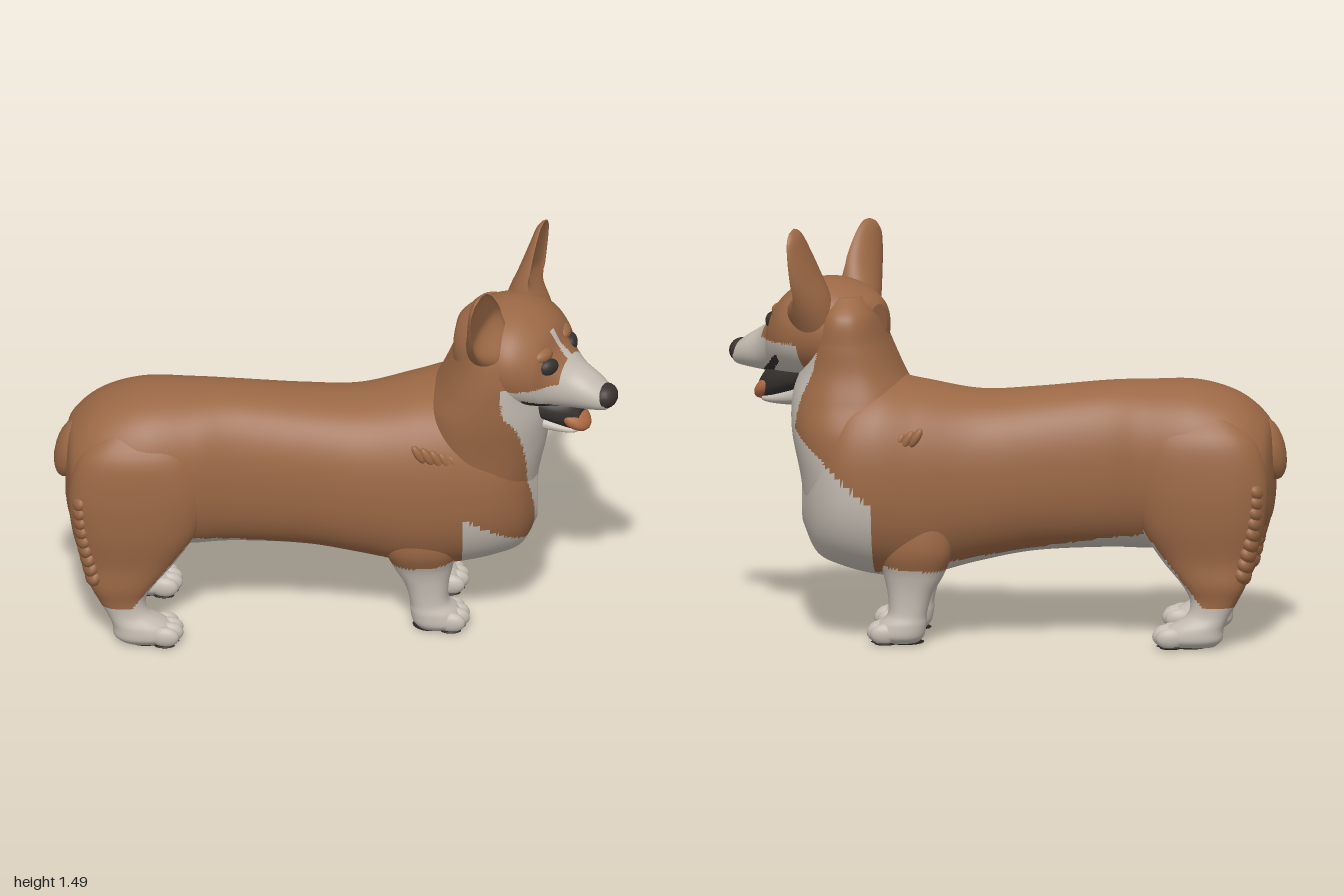
import * as THREE from 'three';

const mat = (name, color) => Object.assign(new THREE.MeshStandardMaterial({ color }), { name });

// Smooth interpolation through the rows of a station table
function sample(rows, f) {
  const i = Math.min(Math.floor(f), rows.length - 2), t = f - i;
  const at = k => rows[Math.max(0, Math.min(rows.length - 1, k))];
  return rows[i].map((_, c) => {
    const [a, b, d, e] = [at(i - 1)[c], at(i)[c], at(i + 1)[c], at(i + 2)[c]];
    return b + 0.5 * t * (d - a + t * (2 * a - 5 * b + 4 * d - e + t * (3 * (b - d) + e - a)));
  });
}

// Closed loft along 'x' or 'y'. Station: [position, high, low, zCentre, zHalfWidth].
// High and low are y limits for an x loft and x limits for a y loft.
// paint(x, y, z) returns the index of the material for each face.
function loft(name, axis, rows, mats, paint, steps = 60, segs = 48, power = 0.85) {
  const pos = [], lists = mats.map(() => []);
  const pw = v => Math.sign(v) * Math.abs(v) ** power;
  for (let i = -1; i <= steps + 1; i++) {
    const f = Math.max(0, Math.min(steps, i)) / steps * (rows.length - 1);
    const [t, hi, lo, zc, w] = sample(rows, f);
    const cap = i < 0 || i > steps ? 0 : 1;
    for (let j = 0; j < segs; j++) {
      const a = j / segs * Math.PI * 2;
      const m = (hi + lo) / 2 + cap * (hi - lo) / 2 * pw(Math.cos(a));
      const z = zc + cap * w * pw(Math.sin(a));
      pos.push(...(axis === 'x' ? [t, m, z] : [m, t, z]));
    }
  }
  const mean = (tri, k) => (pos[tri[0] * 3 + k] + pos[tri[1] * 3 + k] + pos[tri[2] * 3 + k]) / 3;
  for (let i = 0; i < steps + 2; i++) for (let j = 0; j < segs; j++) {
    const a = i * segs + j, b = i * segs + (j + 1) % segs, c = a + segs, d = b + segs;
    for (const tri of [[a, b, c], [b, d, c]]) {
      if (axis === 'y') tri.reverse();
      lists[paint ? paint(mean(tri, 0), mean(tri, 1), mean(tri, 2)) : 0].push(...tri);
    }
  }
  const g = new THREE.BufferGeometry();
  g.setAttribute('position', new THREE.Float32BufferAttribute(pos, 3));
  g.setIndex(lists.flat());
  let start = 0;
  lists.forEach((l, k) => { g.addGroup(start, l.length, k); start += l.length; });
  g.computeVertexNormals();
  const mesh = new THREE.Mesh(g, mats);
  mesh.name = name;
  return mesh;
}

function blob(name, m, p, r, rot = [0, 0, 0]) {
  const mesh = new THREE.Mesh(new THREE.SphereGeometry(1, 18, 12), m);
  mesh.name = name;
  mesh.position.set(...p);
  mesh.scale.set(...r);
  mesh.rotation.set(...rot);
  return mesh;
}

export function createModel() {
  const dog = new THREE.Group();
  dog.name = 'dog';
  const coat = mat('tan coat', 0x9b6845), white = mat('white fur', 0xc4bcb2);
  const dark = mat('dark eyes and lips', 0x34302d), nose = mat('nose', 0x3a322d);
  const pad = mat('paw pads', 0x28231f), pink = mat('tongue', 0xb06b43);
  const fur = [coat, white];

  // Torso and chest markings
  const chest = (x, y, z) => {
    const edge = 0.59 + 0.05 * Math.exp(-(((y - 0.72) / 0.15) ** 2));
    if (x > edge && z > -0.175 && z < 0.08 + (y - 0.4) * 0.35 && y < 1.045) return 1;
    if (x > 0.46 && z > 0 && y < 0.5 - (x - 0.47) * 0.6) return 1;
    return x > 0.46 && z < 0 && y < 0.64 - (0.6 - x) * 0.9 ? 1 : 0;
  };
  const torso = (x, y, z) => (x > -0.75 && y < 0.325 - 0.16 * x) ? 1 : chest(x, y, z);
  dog.add(loft('torso', 'x', [
    [-0.955, 0.72, 0.5, 0.02, 0.07], [-0.93, 0.8, 0.42, 0.02, 0.175], [-0.83, 0.885, 0.36, 0.02, 0.235],
    [-0.68, 0.93, 0.33, 0.02, 0.26], [-0.5, 0.93, 0.33, 0.015, 0.24], [-0.35, 0.925, 0.33, 0.01, 0.215],
    [-0.1, 0.9, 0.315, 0, 0.225], [0.1, 0.89, 0.275, -0.01, 0.245], [0.3, 0.925, 0.225, -0.03, 0.28],
    [0.45, 0.95, 0.23, -0.045, 0.298], [0.58, 0.91, 0.26, -0.045, 0.285], [0.67, 0.8, 0.3, -0.03, 0.215],
    [0.725, 0.62, 0.4, -0.01, 0.1]], fur, torso, 130, 96));

  // Neck and ruff
  dog.add(loft('neck', 'y', [
    [0.33, 0.65, 0.46, -0.03, 0.14], [0.45, 0.71, 0.38, -0.03, 0.22], [0.6, 0.735, 0.32, -0.04, 0.265],
    [0.75, 0.765, 0.31, -0.03, 0.275], [0.87, 0.765, 0.33, 0, 0.262], [0.97, 0.735, 0.38, 0.02, 0.248],
    [1.07, 0.71, 0.425, 0.025, 0.24], [1.17, 0.68, 0.46, 0.022, 0.22], [1.235, 0.64, 0.5, 0.03, 0.15]],
    fur, chest, 120, 100));

  dog.add(blob('tail', coat, [-0.938, 0.69, 0.03], [0.054, 0.115, 0.08], [0, 0, -0.25]));

  // Legs with toes and pads
  for (const s of [1, -1]) {
    const side = s > 0 ? 'left' : 'right';
    const paw = (label, x, z) => {
      for (let k = 0; k < 4; k++) {
        const o = k - 1.5;
        dog.add(blob(label + 'Toe', white, [x - Math.abs(o) * 0.016, 0.04, z + o * 0.038], [0.052, 0.038, 0.025], [0, -o * 0.1, 0]));
        dog.add(blob(label + 'ToePad', pad, [x - Math.abs(o) * 0.016, 0.006, z + o * 0.038], [0.037, 0.006, 0.02]));
      }
      dog.add(blob(label + 'Pad', pad, [x - 0.09, 0.005, z], [0.07, 0.007, 0.06]));
    };
    const f = s > 0 ? 0.098 : -0.18, ft = s > 0 ? 0.125 : -0.2;
    dog.add(loft(side + 'FrontLeg', 'y', [
      [0.006, 0.44, 0.3, f, 0.06], [0.03, 0.465, 0.28, f, 0.08], [0.07, 0.445, 0.272, f, 0.08],
      [0.11, 0.41, 0.27, f, 0.071], [0.18, 0.41, 0.25, f, 0.072], [0.25, 0.425, 0.21, f, 0.083],
      [0.34, 0.44, 0.18, ft, 0.088], [0.46, 0.42, 0.19, ft, 0.08], [0.58, 0.36, 0.24, ft, 0.05]],
      fur, (x, y, z) => (y > 0.27 + 0.1 * Math.max(0, x - 0.25) && (z - f) * s > 0.01) || y > 0.45 ? 0 : 1));
    paw(side + 'Front', 0.44, f);

    const h = s > 0 ? 0.2 : -0.165, ht = s > 0 ? 0.175 : -0.135;
    dog.add(loft(side + 'HindLeg', 'y', [
      [0.006, -0.58, -0.76, h, 0.055], [0.03, -0.56, -0.785, h, 0.075], [0.07, -0.585, -0.79, h, 0.073],
      [0.115, -0.655, -0.81, h, 0.056], [0.17, -0.67, -0.84, h, 0.056], [0.23, -0.64, -0.87, h, 0.066],
      [0.32, -0.56, -0.9, ht, 0.095], [0.45, -0.48, -0.935, ht, 0.115], [0.6, -0.45, -0.945, ht, 0.12],
      [0.75, -0.49, -0.9, ht, 0.1], [0.85, -0.6, -0.78, ht, 0.03]],
      fur, (x, y, z) => y > 0.15 + Math.max(0, x + 0.72) * 1.25
        && ((z - ht) * s > 0 || y > 0.45 || x < -0.87) ? 0 : 1));
    paw(side + 'Hind', -0.58, h);

    // Fur tufts on the shoulder and the back of the thigh
    for (let k = 0; k < 9; k++) {
      dog.add(blob(side + 'ShoulderTuft', coat, [0.3 + k * 0.032, 0.765 - k * 0.01, (s > 0 ? 0.228 : -0.29) - k * s * 0.001],
        [0.016, 0.04, 0.016], [0, 0, 0.55]));
      dog.add(blob(side + 'ThighTuft', coat, [-0.853 - 0.05 * Math.sin(k / 8 * 1.5), 0.27 + k * 0.038, ht + s * 0.01],
        [0.034, 0.045, 0.08], [0, 0, -0.35]));
    }
  }

  // Head, turned and tilted to its left; heights are relative to its pivot
  const head = new THREE.Group();
  head.name = 'head';
  head.position.set(0.62, 1.12, 0.03);
  head.rotation.set(0.08, -0.45, 0, 'YXZ');
  dog.add(head);
  const face = (u, y, w) => {
    const lip = -0.135 - (u - 0.14) * 0.6;
    if (u > 0.13 && u < 0.28 && Math.abs(y - lip) < 0.015) return 2;
    if (u > 0.245 || (u > 0.03 && y < -0.07)) return 1;
    return u > 0.1 && y < 0.09 && Math.abs(w) < 0.012 + 0.14 * Math.max(0, 0.035 - y) ? 1 : 0;
  };
  head.add(loft('skull', 'x', [
    [-0.18, 0.08, -0.08, 0, 0.06], [-0.15, 0.11, -0.14, 0, 0.135], [-0.07, 0.15, -0.19, 0, 0.2],
    [0.02, 0.163, -0.2, 0, 0.224], [0.1, 0.145, -0.2, 0, 0.218], [0.17, 0.095, -0.2, 0, 0.175],
    [0.21, 0.03, -0.2, 0, 0.128], [0.27, -0.028, -0.2, 0, 0.09], [0.34, -0.072, -0.195, 0, 0.07],
    [0.39, -0.11, -0.188, 0, 0.048], [0.405, -0.13, -0.17, 0, 0.025]], [coat, white, dark], face, 100, 88, 0.95));
  head.add(loft('mouth', 'x', [
    [0.08, -0.14, -0.25, 0, 0.1], [0.19, -0.17, -0.28, 0, 0.078], [0.25, -0.18, -0.3, 0, 0.056],
    [0.285, -0.22, -0.305, 0, 0.035]], [dark], null, 20, 24));
  head.add(loft('lowerJaw', 'x', [
    [0.0, -0.17, -0.29, 0, 0.1], [0.1, -0.23, -0.31, 0, 0.08], [0.2, -0.27, -0.315, 0, 0.058],
    [0.26, -0.285, -0.312, 0, 0.042], [0.28, -0.29, -0.305, 0, 0.02]], [white], null, 24, 32));
  head.add(blob('tongue', pink, [0.25, -0.25, 0], [0.075, 0.036, 0.061], [0, 0, -0.65]));
  head.add(blob('nose', nose, [0.38, -0.14, 0], [0.044, 0.045, 0.053]));

  // Eyes and cupped ears
  for (const s of [1, -1]) {
    const side = s > 0 ? 'left' : 'right';
    head.add(blob(side + 'Eye', dark, [0.203, -0.008, s * 0.092], [0.026, 0.032, 0.041], [0, -s * 0.5, 0]));
    head.add(blob(side + 'Brow', coat, [0.172, 0.032, s * 0.088], [0.034, 0.028, 0.05], [0, -s * 0.45, 0]));
    const ear = loft(side + 'Ear', 'y', [
      [-0.07, 0.07, -0.1, 0, 0.075], [0.03, 0.07, -0.09, 0, 0.092], [0.13, 0.062, -0.062, 0, 0.096],
      [0.22, 0.045, -0.04, 0, 0.081], [0.28, 0.028, -0.026, 0, 0.056], [0.306, 0.01, -0.01, 0, 0.022]],
      [coat], null, 40, 40, 1);
    const p = ear.geometry.attributes.position;
    for (let i = 0; i < p.count; i++) {
      const x = p.getX(i), cup = THREE.MathUtils.smoothstep(p.getY(i), 0, 0.13);
      if (x > 0) p.setX(i, x * (1 - 1.35 * cup));
    }
    ear.geometry.computeVertexNormals();
    ear.position.set(0.015, 0.06, s > 0 ? 0.15 : -0.17);
    ear.rotation.set(s > 0 ? 0.42 : -0.36, -s * 0.15, -0.1, 'YXZ');
    head.add(ear);
  }
  return dog;
}
